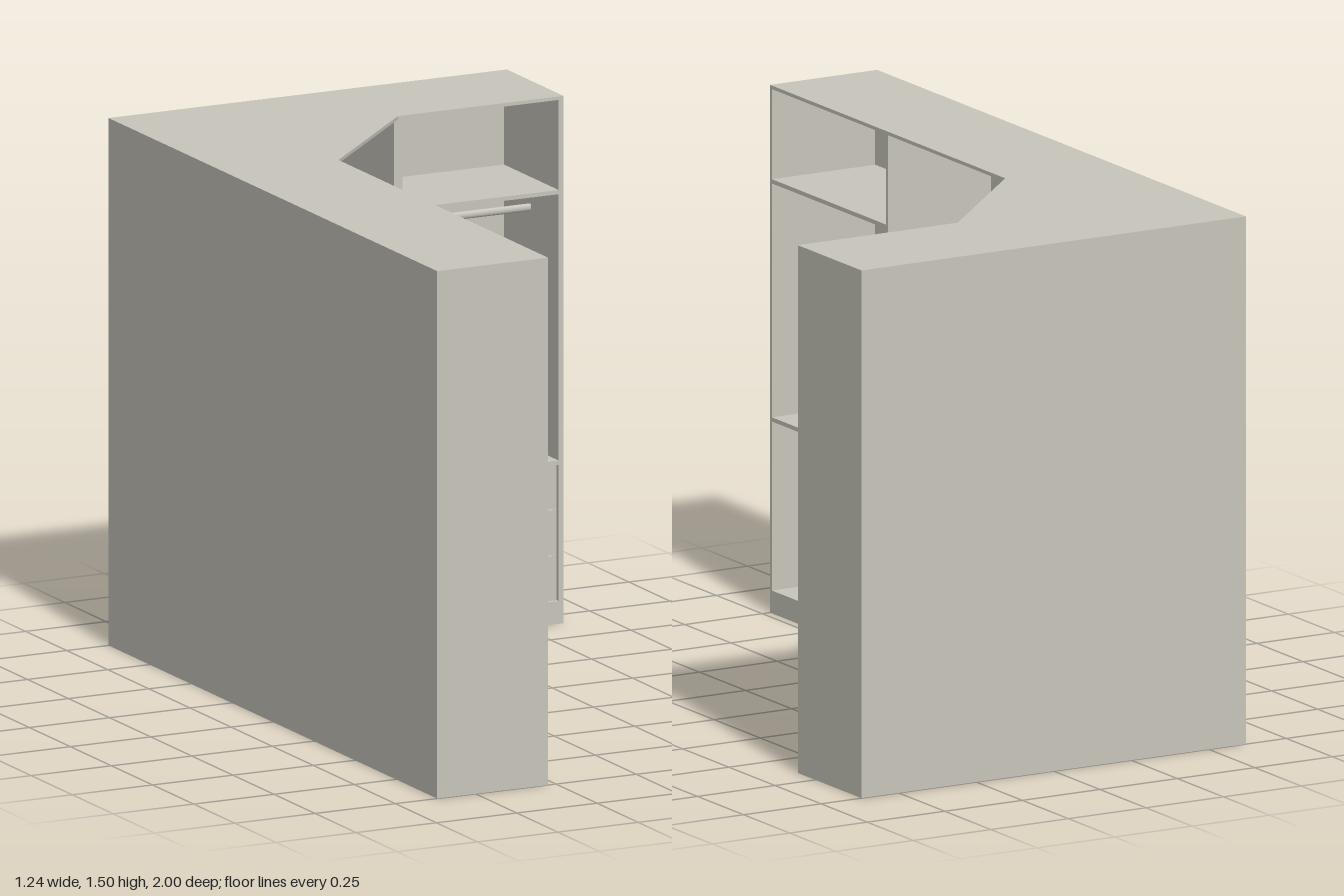
import * as THREE from 'three';

const T = 0.012;            // board thickness
const H = 1.505;            // total height
const BASE = 0.065;         // plinth height
const CEIL = H - 0.01;      // underside of the top board
const X0 = -0.62, X1 = 0.62, Z0 = -1, Z1 = 1;
const FX = -0.275;          // front of the long wing
const FZ = -0.655;          // front of the short wing
const CX = 0.105;           // where the diagonal meets the short wing

export function createModel() {
  const laminate = new THREE.MeshStandardMaterial({ color: 0xc9c6bc });
  laminate.name = 'warmGreyLaminate';
  const model = new THREE.Group();
  model.name = 'cornerWardrobe';

  const add = (name, geometry, parent = model) => {
    const mesh = new THREE.Mesh(geometry, laminate);
    mesh.name = name;
    parent.add(mesh);
    return mesh;
  };

  // Box given by its limits on each axis
  const board = (name, xa, xb, ya, yb, za, zb, parent) => {
    const mesh = add(name, new THREE.BoxGeometry(xb - xa, yb - ya, zb - za), parent);
    mesh.position.set((xa + xb) / 2, (ya + yb) / 2, (za + zb) / 2);
    return mesh;
  };

  // Horizontal slab from a list of [x, z] corners
  const slab = (name, corners, ya, yb, parent) => {
    const shape = new THREE.Shape(corners.map(([x, z]) => new THREE.Vector2(x, -z)));
    const geometry = new THREE.ExtrudeGeometry(shape, { depth: yb - ya, bevelEnabled: false });
    geometry.rotateX(-Math.PI / 2);
    const mesh = add(name, geometry, parent);
    mesh.position.y = ya;
    return mesh;
  };

  // Oval hanging rail along x or z
  const rail = (name, axis, from, to, y, across, parent) => {
    const geometry = new THREE.CylinderGeometry(1, 1, to - from, 16);
    if (axis === 'x') geometry.rotateZ(Math.PI / 2).scale(1, 0.011, 0.007);
    else geometry.rotateX(Math.PI / 2).scale(0.007, 0.011, 1);
    const mesh = add(name, geometry, parent);
    const mid = (from + to) / 2;
    if (axis === 'x') mesh.position.set(mid, y, across);
    else mesh.position.set(across, y, mid);
  };

  const section = (name) => {
    const group = new THREE.Group();
    group.name = name;
    model.add(group);
    return group;
  };

  // Plinth and top share the angled footprint
  const footprint = [[X0, Z1], [FX, Z1], [FX, FX], [CX, FZ], [X1, FZ], [X1, Z0], [X0, Z0]];
  slab('plinth', footprint, 0, BASE);
  slab('topBoard', footprint, CEIL, H);

  // Back walls
  board('longBackWall', X0, X0 + T, BASE, CEIL, Z0, Z1);
  board('shortBackWall', X0 + T, X1, BASE, CEIL, Z0, Z0 + T);
  const bx = X0 + T, bz = Z0 + T;

  // Upright panels of the long wing, then of the short wing
  for (const [za, zb] of [[0.99, Z1], [0.361, 0.371], [FX, -0.26], [FX - T, FX]])
    board('longWingUpright', bx, FX, BASE, CEIL, za, zb);
  for (const [xa, xb] of [[CX - T, CX], [CX, 0.118], [0.605, X1]])
    board('shortWingUpright', xa, xb, BASE, CEIL, bz, FZ);

  // Hanging bay at the end of the long wing
  const hanging = section('hangingBay');
  for (const y of [1.226, 0.547]) {
    board('hangingShelf', bx, FX, y, y + T, 0.371, 0.99, hanging);
    rail('hangingRail', 'z', 0.371, 0.99, y - 0.055 - (y < 1 ? 0.018 : 0), -0.45, hanging);
  }

  // Cubby bay with drawers below
  const cubby = section('cubbyBay');
  for (const y of [1.162, 0.925, 0.69, 0.456])
    board('cubbyShelf', bx, FX, y, y + T, -0.26, 0.361, cubby);
  for (const [ya, yb] of [[0.468, 0.69], [0.702, 0.925], [0.937, 1.162]])
    board('cubbyDivider', bx, FX, ya, yb, 0.047, 0.059, cubby);

  // Three drawer fronts with slim full-width pulls
  const rows = [BASE, 0.196, 0.327];
  for (const y of rows) {
    board('longDrawerFront', FX - 0.03, FX - 0.012, y, y + 0.13, -0.26, 0.361, cubby);
    board('longDrawerPull', FX - 0.012, FX - 0.001, y + 0.118, y + 0.13, -0.24, 0.35, cubby);
  }

  // Short wing: shelf, rail and drawers
  const short = section('shortWing');
  board('upperShelf', 0.118, 0.605, 1.226, 1.238, bz, FZ, short);
  rail('shortRail', 'x', 0.118, 0.605, 1.151, -0.83, short);
  board('drawerTop', 0.118, 0.605, 0.454, 0.466, bz, FZ, short);
  for (const y of rows) {
    board('shortDrawerFront', 0.118, 0.605, y, y + 0.13, FZ - 0.03, FZ - 0.012, short);
    board('shortDrawerPull', 0.135, 0.589, y + 0.118, y + 0.13, FZ - 0.012, FZ - 0.001, short);
  }

  // Corner: upper shelf with diagonal front
  const corner = section('cornerBay');
  const cr = CX - T, cf = FX - T;
  slab('cornerUpperShelf',
    [[bx, cf], [FX + T, cf], [cr, FZ + T], [cr, bz], [bx, bz]].map(([x, z]) =>
      // keep the front corners on the diagonal
      [x === FX + T ? FX + 0.011 : x, z]), 1.226, 1.238, corner);

  // Corner: tapered side shelves against an inner divider
  const dz = -0.785;
  board('cornerDivider', bx, -0.41, BASE, 1.226, dz - T, dz, corner);
  for (const y of [0.262, 0.504, 0.745, 0.986])
    slab('taperedShelf', [[bx, cf], [-0.285, cf], [-0.44, dz], [bx, dz]], y, y + T, corner);

  // Corner: low shelf and rail along the back wall
  board('cornerLowShelf', bx, cr, 0.454, 0.466, bz, dz - T, corner);
  rail('cornerRail', 'x', bx, cr, 1.151, -0.88, corner);

  return model;
}
